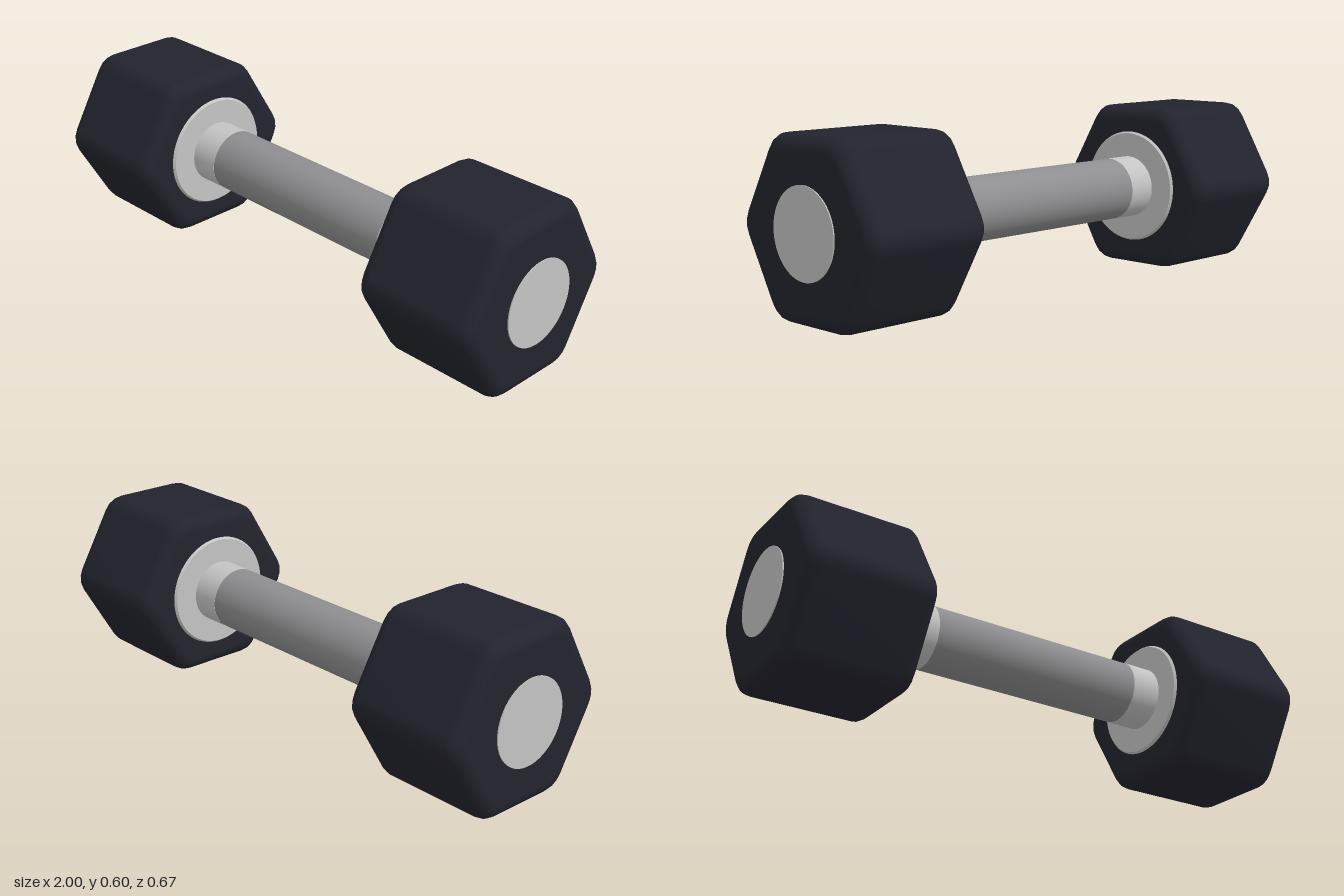
import * as THREE from 'three';
import { mergeVertices } from 'three/addons/utils/BufferGeometryUtils.js';

const AXIS_Y = 0.3;   // height of the bar's axis
const APOTHEM = 0.3;  // centre to flat side of the hexagonal heads

const mat = (name, color) => {
  const m = new THREE.MeshStandardMaterial({ color });
  m.name = name;
  return m;
};

// Hexagon with softened corners, as [z, y] points, flat sides up and down
function hexOutline() {
  const R = APOTHEM / Math.cos(Math.PI / 6);
  const cut = 0.048 / R; // share of each side taken by the corner curve
  const corner = i => new THREE.Vector2(R * Math.cos(i * Math.PI / 3), R * Math.sin(i * Math.PI / 3));
  const points = [];
  for (let i = 0; i < 6; i++) {
    const c = corner(i);
    const from = c.clone().lerp(corner(i - 1), cut);
    const to = c.clone().lerp(corner(i + 1), cut);
    points.push(...new THREE.QuadraticBezierCurve(from, c, to).getPoints(3));
  }
  return points;
}

// Rounded hexagonal block along x, made of scaled rings joined in a loop
function headGeometry(length, bevel) {
  const outline = hexOutline(), n = outline.length, steps = 5;
  const rings = [];
  for (let k = 0; k <= steps; k++) {
    const a = (k / steps) * Math.PI / 2;
    rings.push([-length / 2 + bevel * (1 - Math.sin(a)), 1 - bevel * (1 - Math.cos(a)) / APOTHEM]);
  }
  rings.reverse();
  rings.push(...rings.map(([x, s]) => [-x, s]).reverse());
  // rings run from the -x cap to the +x cap
  rings.sort((a, b) => a[0] - b[0] || a[1] - b[1]);
  const pos = [], index = [];
  for (const [x, s] of rings) for (const p of outline) pos.push(x, p.y * s, p.x * s);
  for (let r = 0; r < rings.length - 1; r++) {
    for (let i = 0; i < n; i++) {
      const a = r * n + i, b = r * n + (i + 1) % n, c = a + n, d = b + n;
      index.push(a, b, c, b, d, c);
    }
  }
  // flat end caps
  const first = pos.length / 3, last = (rings.length - 1) * n;
  pos.push(-length / 2, 0, 0, length / 2, 0, 0);
  for (let i = 0; i < n; i++) {
    const j = (i + 1) % n;
    index.push(first, j, i, first + 1, last + i, last + j);
  }
  // make every face look outwards
  const v = k => new THREE.Vector3().fromArray(pos, k * 3);
  for (let t = 0; t < index.length; t += 3) {
    const [a, b, c] = [v(index[t]), v(index[t + 1]), v(index[t + 2])];
    const normal = b.clone().sub(a).cross(c.clone().sub(a));
    if (normal.dot(a.add(b).add(c)) < 0) [index[t + 1], index[t + 2]] = [index[t + 2], index[t + 1]];
  }
  let g = new THREE.BufferGeometry();
  g.setAttribute('position', new THREE.Float32BufferAttribute(pos, 3));
  g.setIndex(index);
  g = mergeVertices(g);
  g.computeVertexNormals();
  return g;
}

export function createModel() {
  const model = new THREE.Group();
  model.name = 'dumbbell';
  const rubber = mat('darkRubber', 0x23232e);
  const chrome = mat('polishedSteel', 0xc4c4c4);
  const steel = mat('gripSteel', 0x8e8e90);

  const add = (name, geometry, material, x, parent) => {
    const mesh = new THREE.Mesh(geometry, material);
    mesh.name = name;
    mesh.position.x = x;
    parent.add(mesh);
  };
  // Round part lying along x, from x0 to x1
  const round = (name, material, x0, x1, r0, r1, parent) =>
    add(name, new THREE.CylinderGeometry(r1, r0, x1 - x0, 64).rotateZ(-Math.PI / 2), material, (x0 + x1) / 2, parent);

  // Grip
  round('grip', steel, -0.41, 0.41, 0.112, 0.112, model);

  // Each end: sleeve, collar, head and end plate
  const head = headGeometry(0.466, 0.05);
  for (const [name, turn] of [['leftEnd', 0], ['rightEnd', Math.PI]]) {
    const end = new THREE.Group();
    end.name = name;
    end.rotation.y = turn;
    round('sleeve', chrome, 0.41, 0.54, 0.113, 0.113, end);
    round('collar', chrome, 0.521, 0.535, 0.2, 0.21, end);
    add('head', head, rubber, 0.763, end);
    round('endPlate', chrome, 0.992, 1, 0.15, 0.15, end);
    model.add(end);
  }
  model.children.forEach(part => { part.position.y = AXIS_Y; });
  return model;
}
